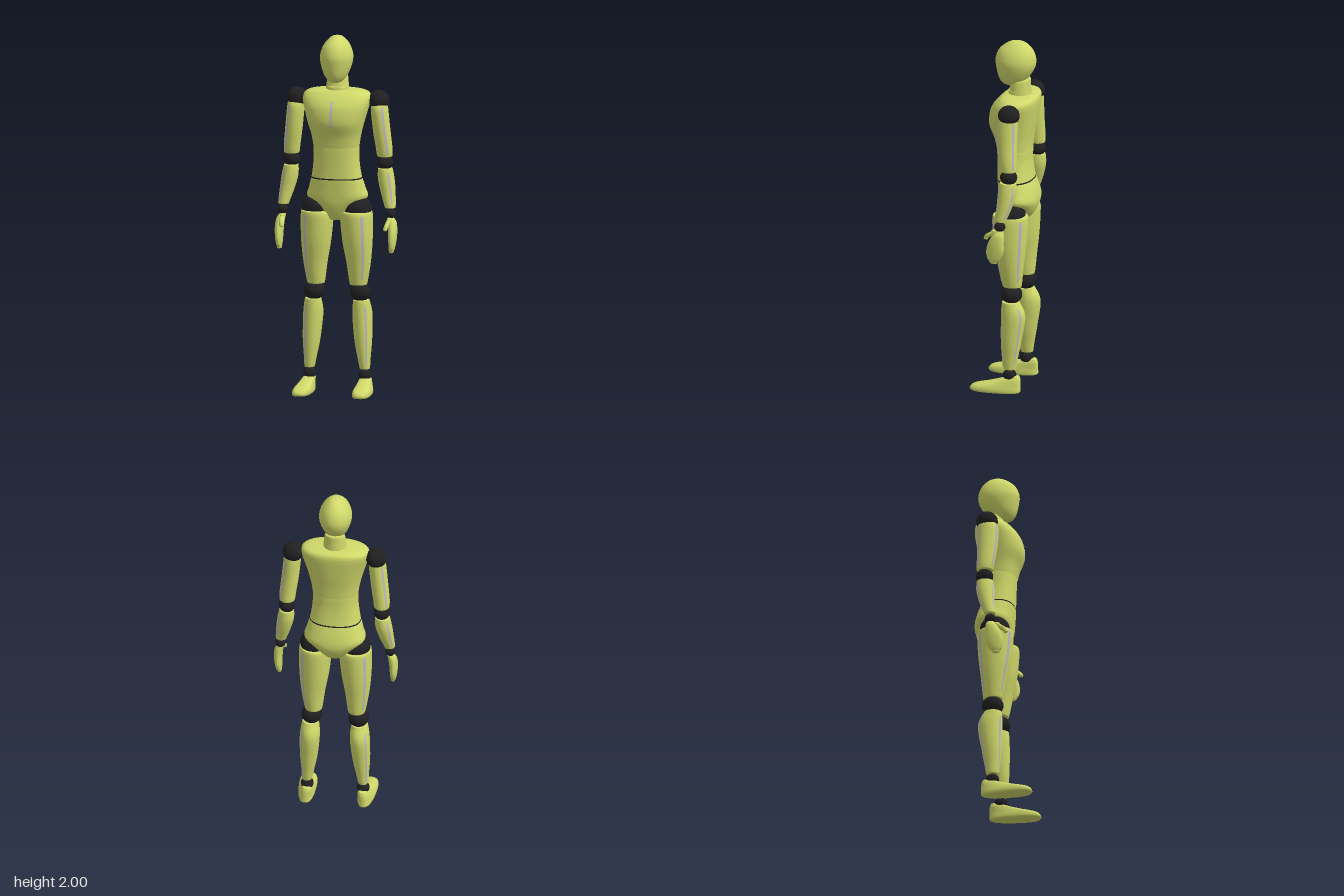
import * as THREE from 'three';

const shell = new THREE.MeshStandardMaterial({ color: 0xd0d96a });
shell.name = 'limeShell';
const joint = new THREE.MeshStandardMaterial({ color: 0x202022 });
joint.name = 'blackJoint';
const trim = new THREE.MeshStandardMaterial({ color: 0xbdb8c4, side: THREE.DoubleSide });
trim.name = 'paleTrim';

// Smooth loft through horizontal sections [x, y, z, rx, rz], listed top to bottom.
// a0..a1 limits the angle (0 = +x, PI/2 = +z); side = -1 mirrors the part.
function loft(sections, { n = 2, side = 1, a0 = 0, a1 = Math.PI * 2, t0 = 0, t1 = 1, offset = 0, segs = 40, warp } = {}) {
  const centre = new THREE.CatmullRomCurve3(sections.map(s => new THREE.Vector3(s[0], s[1], s[2])), false, 'catmullrom');
  const radii = new THREE.CatmullRomCurve3(sections.map(s => new THREE.Vector3(s[3], s[4], 0)), false, 'catmullrom');
  const closed = a1 - a0 > 6.28;
  const rows = (sections.length - 1) * 6, cols = closed ? segs : segs + 1;
  const pos = [], index = [];
  const bend = v => Math.sign(v) * Math.pow(Math.abs(v), 2 / n);
  for (let i = 0; i <= rows; i++) {
    const t = t0 + (t1 - t0) * i / rows;
    const c = centre.getPoint(t), r = radii.getPoint(t);
    for (let j = 0; j < cols; j++) {
      const a = a0 + (a1 - a0) * j / segs;
      const p = new THREE.Vector3(
        c.x + (Math.max(r.x, 0.0005) + offset) * bend(Math.cos(a)), c.y,
        c.z + (Math.max(r.y, 0.0005) + offset) * bend(Math.sin(a)));
      if (warp) warp(p);
      pos.push(p.x * side, p.y, p.z);
    }
  }
  for (let i = 0; i < rows; i++) {
    for (let j = 0; j < segs; j++) {
      const k = (j + 1) % cols;
      const a = i * cols + j, b = i * cols + k, c = a + cols, d = b + cols;
      if (side > 0) index.push(a, b, c, b, d, c);
      else index.push(a, c, b, b, c, d);
    }
  }
  const g = new THREE.BufferGeometry();
  g.setAttribute('position', new THREE.Float32BufferAttribute(pos, 3));
  g.setIndex(index);
  g.computeVertexNormals();
  return g;
}

// Adds softly rounded closed ends to a list of sections
function capped(s, h = 0.01) {
  const end = ([x, y, z, rx, rz], d) => [[x, y + d * 0.7, z, rx * 0.88, rz * 0.88], [x, y + d, z, rx * 0.45, rz * 0.45], [x, y + d, z, 0, 0]];
  return [...end(s[0], h).reverse(), ...s, ...end(s[s.length - 1], -h)];
}

// Torso section from half width, front z and back z
const band = (y, w, front, back, x = 0) => [x, y, (front + back) / 2, w, (front - back) / 2];

export function createModel() {
  const model = new THREE.Group();
  const add = (parent, name, geo, mat) => {
    const m = new THREE.Mesh(geo, mat);
    m.name = name;
    parent.add(m);
    return m;
  };
  const ball = (parent, name, x, y, z, rx, ry, rz) => {
    const m = add(parent, name, new THREE.SphereGeometry(1, 32, 20), joint);
    m.scale.set(rx, ry, rz);
    m.position.set(x, y, z);
  };

  // Head and neck
  add(model, 'head', loft([
    band(2.0, 0, -0.045, -0.045), band(1.992, 0.033, 0.0, -0.092), band(1.95, 0.071, 0.055, -0.135),
    band(1.895, 0.09, 0.077, -0.152), band(1.845, 0.086, 0.073, -0.143), band(1.79, 0.067, 0.061, -0.108),
    band(1.757, 0.044, 0.042, -0.075), band(1.743, 0.022, 0.015, -0.05), band(1.74, 0, -0.017, -0.017)]), shell);
  add(model, 'neck', loft(capped([
    [0, 1.775, -0.066, 0.056, 0.056], [0, 1.74, -0.062, 0.061, 0.06], [0, 1.685, -0.06, 0.064, 0.064]]), {
    warp: p => { if (p.y > 1.73) p.y -= (p.z + 0.09) * 0.25; } }), shell);

  // Torso
  const chest = [
    band(1.702, 0, -0.06, -0.06), band(1.701, 0.08, -0.01, -0.12), band(1.693, 0.155, 0.025, -0.155), band(1.675, 0.184, 0.048, -0.166),
    band(1.645, 0.189, 0.075, -0.166), band(1.6, 0.179, 0.097, -0.16), band(1.525, 0.158, 0.103, -0.148),
    band(1.45, 0.138, 0.076, -0.135), band(1.385, 0.127, 0.062, -0.128)];
  add(model, 'chest', loft(chest, { n: 2.3, segs: 64 }), shell);
  add(model, 'chestStripe', loft(chest, { n: 2.3, a0: 1.55, a1: 1.592, t0: 0.49, t1: 0.78, offset: 0.003, segs: 2 }), trim);
  add(model, 'waist', loft([
    band(1.4, 0.12, 0.058, -0.122), band(1.385, 0.126, 0.061, -0.127), band(1.32, 0.126, 0.058, -0.126),
    band(1.26, 0.132, 0.056, -0.131), band(1.208, 0.14, 0.055, -0.139)], { n: 2.3, segs: 64 }), shell);
  add(model, 'waistSeam', loft([
    band(1.211, 0.141, 0.056, -0.14), band(1.204, 0.1425, 0.056, -0.1415)], { n: 2.3, segs: 64 }), joint);
  add(model, 'pelvis', loft([
    band(1.206, 0.139, 0.054, -0.138), band(1.2, 0.143, 0.055, -0.142), band(1.15, 0.157, 0.051, -0.158),
    band(1.1, 0.169, 0.047, -0.168), band(1.06, 0.128, 0.042, -0.165), band(1.01, 0.076, 0.027, -0.142),
    band(0.977, 0.045, 0.008, -0.105), band(0.968, 0.02, -0.02, -0.07), band(0.967, 0, -0.04, -0.04)],
  { n: 2.3, segs: 64 }), shell);

  // Limb sections for the +x side
  const limbs = {
    upperArm: [[0.235, 1.62, -0.067, 0.046, 0.052], [0.238, 1.58, -0.063, 0.048, 0.059], [0.249, 1.47, -0.066, 0.048, 0.056],
      [0.26, 1.38, -0.073, 0.046, 0.05], [0.263, 1.335, -0.077, 0.043, 0.046]],
    forearm: [[0.267, 1.255, -0.076, 0.041, 0.047], [0.273, 1.2, -0.073, 0.046, 0.05], [0.286, 1.13, -0.063, 0.041, 0.043],
      [0.301, 1.055, -0.045, 0.031, 0.033]],
    thigh: [[0.112, 1.015, -0.041, 0.087, 0.099], [0.112, 0.97, -0.041, 0.09, 0.1], [0.117, 0.85, -0.043, 0.083, 0.09],
      [0.122, 0.73, -0.048, 0.067, 0.071], [0.12, 0.62, -0.053, 0.05, 0.055]],
    shin: [[0.137, 0.515, -0.053, 0.046, 0.052], [0.139, 0.44, -0.066, 0.055, 0.068], [0.146, 0.3, -0.057, 0.049, 0.057],
      [0.152, 0.2, -0.052, 0.036, 0.044], [0.156, 0.145, -0.051, 0.029, 0.036]],
    hand: [[0.306, 0.99, -0.04, 0.019, 0.022], [0.316, 0.965, -0.034, 0.024, 0.033], [0.321, 0.92, -0.023, 0.024, 0.045],
      [0.321, 0.87, -0.017, 0.021, 0.05], [0.319, 0.83, -0.011, 0.017, 0.038], [0.317, 0.81, -0.008, 0.013, 0.022]],
    thumb: [[0.302, 0.982, -0.012, 0.012, 0.024], [0.298, 0.96, 0.02, 0.013, 0.024], [0.294, 0.94, 0.042, 0.012, 0.013]],
  };
  const foot = [
    band(0.093, 0.03, -0.03, -0.108, 0.158), band(0.078, 0.038, 0.005, -0.112, 0.16), band(0.058, 0.044, 0.075, -0.113, 0.163),
    band(0.04, 0.049, 0.148, -0.113, 0.165), band(0.024, 0.052, 0.17, -0.113, 0.166), band(0.01, 0.051, 0.171, -0.112, 0.166)];

  for (const side of [1, -1]) {
    const label = side > 0 ? 'left' : 'right';
    const arm = new THREE.Group(), leg = new THREE.Group();
    arm.name = label + 'Arm';
    leg.name = label + 'Leg';
    model.add(arm, leg);

    // Ball joints
    ball(arm, 'shoulder', side * 0.232, 1.642, -0.07, 0.058, 0.056, 0.06);
    ball(arm, 'elbow', side * 0.264, 1.293, -0.079, 0.045, 0.042, 0.048);
    ball(arm, 'wrist', side * 0.306, 1.015, -0.041, 0.029, 0.028, 0.031);
    ball(leg, 'hip', side * 0.116, 1.035, -0.043, 0.08, 0.075, 0.083);
    ball(leg, 'knee', side * 0.131, 0.566, -0.053, 0.057, 0.052, 0.06);
    ball(leg, 'ankle', side * 0.156, 0.103, -0.051, 0.035, 0.035, 0.038);

    // Shells, with pale stripes down the outer front and outer back
    for (const [name, sections] of Object.entries(limbs)) {
      const isLeg = name === 'thigh' || name === 'shin';
      const parent = isLeg ? leg : arm;
      add(parent, name, loft(capped(sections), { side }), shell);
      if (name === 'hand' || name === 'thumb') continue;
      const half = isLeg ? 0.1 : 0.13;
      for (const [where, a] of [['Front', 1.0], ['Back', -0.85]]) {
        add(parent, name + where + 'Stripe', loft(sections,
          { side, a0: a - half, a1: a + half, t0: 0.08, t1: 0.95, offset: 0.003, segs: 3 }), trim);
      }
    }

    // Foot, widening towards the toes
    add(leg, 'foot', loft(capped(foot), { n: 2.6, side, warp: p => {
      p.x = 0.163 + (p.x - 0.163) * (0.9 + p.z * 1.0) + p.z * 0.03;
    } }), shell);
  }
  return model;
}
